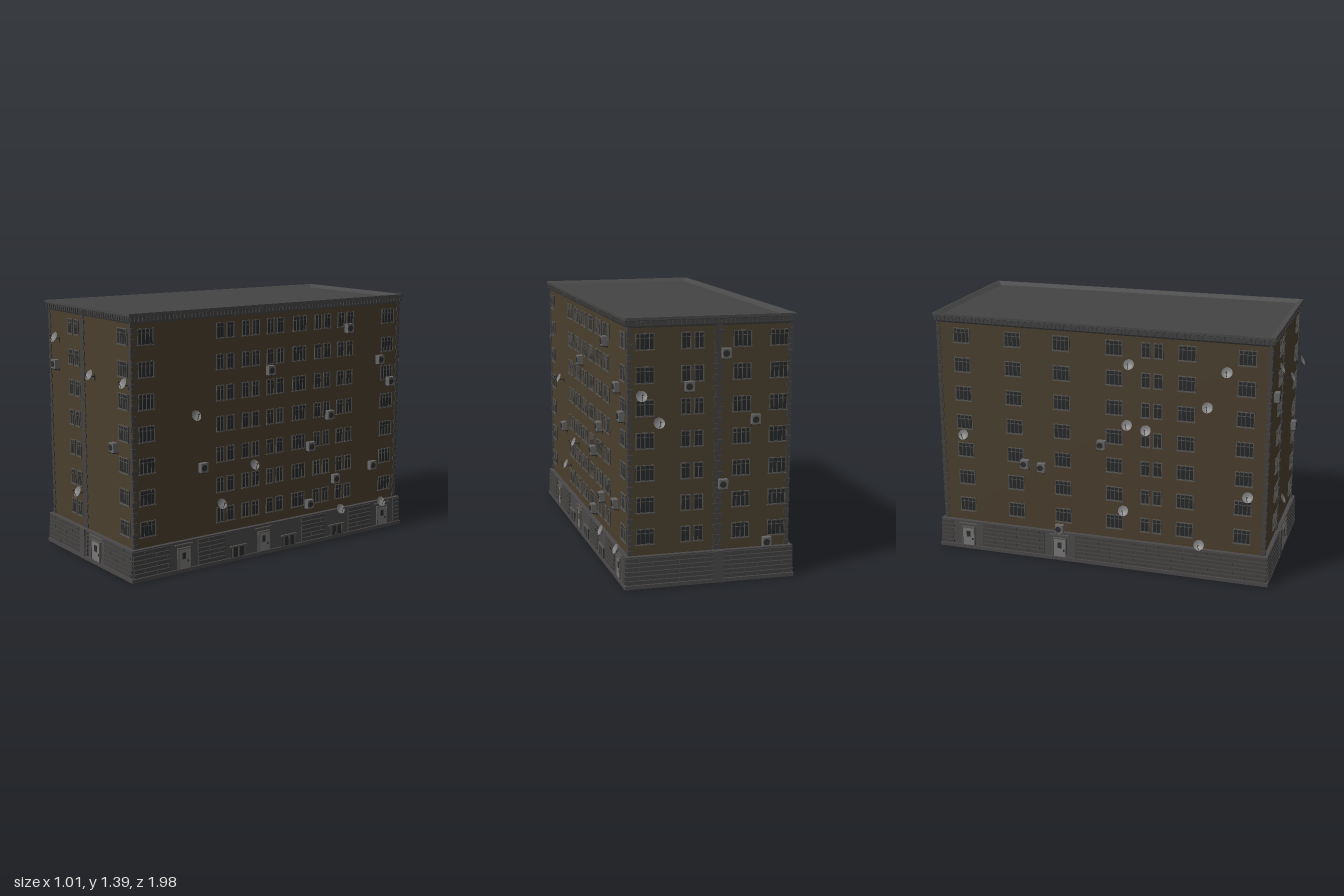
import * as THREE from 'three';
import { mergeGeometries } from 'three/addons/utils/BufferGeometryUtils.js';

const mat = (color, side = THREE.FrontSide) =>
  new THREE.MeshStandardMaterial({ color, side, flatShading: true });
const DOUBLE = THREE.DoubleSide;
const M = {
  walls: mat(0x4a3f2e, DOUBLE), base: mat(0x4a4848, DOUBLE), cornice: mat(0x484848, DOUBLE),
  roof: mat(0x444444, DOUBLE), stonework: mat(0x424140), glass: mat(0x26282a),
  frames: mat(0x55534f), darkMetal: mat(0x2d2d2d), doors: mat(0x777777),
  airConditioners: mat(0x666666), dishes: mat(0x808080, DOUBLE),
};

// Slightly skewed plan: front left, front right, back right, back left as seen from the front
const PLAN = [[-0.44, 0.925], [0.445, 0.925], [0.41, -0.92], [-0.44, -0.945]];
const BASE_TOP = 0.17, WALL_TOP = 1.345, FLOORS = 7, STOREY = 0.1668;
const corner = (i, off, y) => {
  const [x, z] = PLAN[i % 4];
  return [x + Math.sign(x) * off, y, z + Math.sign(z) * off];
};

function surface(quads) {
  const pos = [];
  for (const [a, b, c, d] of quads) pos.push(...a, ...b, ...c, ...a, ...c, ...d);
  const g = new THREE.BufferGeometry();
  g.setAttribute('position', new THREE.Float32BufferAttribute(pos, 3));
  g.computeVertexNormals();
  return g;
}

// Sweep a profile of [outward offset, height] around the plan
function ring(profile) {
  const quads = [];
  for (let k = 0; k + 1 < profile.length; k++)
    for (let i = 0; i < 4; i++)
      quads.push([corner(i, ...profile[k]), corner(i + 1, ...profile[k]),
        corner(i + 1, ...profile[k + 1]), corner(i, ...profile[k + 1])]);
  return surface(quads);
}

// One facade: local x runs along the wall, local z points outwards
class Facade {
  constructor(name, index, axis) {
    const a = PLAN[index], b = PLAN[(index + 1) % 4];
    this.u0 = axis(a);
    this.u1 = axis(b);
    const t = -this.u0 / (this.u1 - this.u0);
    this.group = new THREE.Group();
    this.group.name = name;
    this.group.position.set(a[0] + (b[0] - a[0]) * t, 0, a[1] + (b[1] - a[1]) * t);
    this.group.rotation.y = Math.atan2(a[1] - b[1], b[0] - a[0]);
    this.parts = {};
  }
  add(part, material, geo) {
    (this.parts[part] ??= { material, geos: [] }).geos.push(geo);
  }
  // Box given by centre u, centre y, size, and depth range
  box(part, material, u, y, w, h, z0, z1) {
    this.add(part, material, new THREE.BoxGeometry(w, h, z1 - z0).translate(u, y, (z0 + z1) / 2));
  }
  finish() {
    for (const [part, { material, geos }] of Object.entries(this.parts)) {
      const mesh = new THREE.Mesh(mergeGeometries(geos), material);
      mesh.name = part;
      this.group.add(mesh);
    }
    return this.group;
  }
}

// A window of equal panes with frame, transom and sill
function addWindow(f, u, y, w, panes) {
  const h = 0.085, b = 0.005, bar = (...a) => f.box('windowFrames', M.frames, ...a);
  f.box('windowGlass', M.glass, u, y, w, h, -0.002, 0.002);
  for (const s of [-1, 1]) {
    bar(u + s * (w - b) / 2, y, b, h, 0, 0.006);
    bar(u, y + s * (h - b) / 2, w, b, 0, 0.006);
  }
  for (let i = 1; i < panes; i++) bar(u + (i / panes - 0.5) * w, y, 0.003, h, 0, b);
  bar(u, y + 0.018, w, 0.003, 0, 0.004);
  bar(u, y - h / 2, w + 0.006, 0.004, 0, 0.009);
}

function addDoor(f, u, w) {
  const h = 0.128, trim = (...a) => f.box('doorTrim', M.frames, ...a);
  f.box('doors', M.doors, u, h / 2, w, h, 0.005, 0.024);
  for (const s of [-1, 1]) trim(u + s * (w / 2 + 0.003), h / 2, 0.006, h, 0.01, 0.03);
  trim(u, h + 0.003, w + 0.012, 0.006, 0.01, 0.03);
  trim(u, 0.152, w * 1.6, 0.005, 0.01, 0.026);
  f.box('doorWindows', M.darkMetal, u, h * 0.7, w * 0.32, 0.035, 0.02, 0.026);
  f.box('doorHandles', M.darkMetal, u + w * 0.36, h * 0.47, 0.007, 0.012, 0.02, 0.028);
}

function addVent(f, u) {
  f.box('vents', M.darkMetal, u, 0.046, 0.1, 0.06, 0.01, 0.026);
  f.box('ventFrames', M.frames, u, 0.08, 0.11, 0.008, 0.01, 0.03);
  for (const s of [-0.04, 0, 0.04]) f.box('ventFrames', M.frames, u + s, 0.046, 0.012, 0.06, 0.01, 0.029);
}

// Staggered courses of long blocks between two points along the base
function addRustication(f, from, to) {
  for (let row = 0; row < 6; row++) {
    const y = 0.034 + row * 0.0235, out = 0.029 - row * 0.0011;
    for (let a = from, n = row % 2 ? 0.07 : 0.14; a < to - 0.01; a += n, n = 0.14) {
      const b = Math.min(a + n, to);
      f.box('rustication', M.stonework, (a + b) / 2, y, b - a - 0.003, 0.0185, 0.012, out);
    }
  }
}

// Column of alternating long and short blocks, growing to one side of u
function addQuoins(f, u, side) {
  const n = 42, step = (WALL_TOP - BASE_TOP) / n;
  for (let i = 0; i < n; i++) {
    const w = i % 2 ? 0.016 : 0.025;
    f.box('quoins', M.stonework, u + side * w / 2, BASE_TOP + (i + 0.5) * step, w, step * 0.86, -0.004, w / 4);
  }
}

function addAirConditioner(f, u, y) {
  f.box('airConditioners', M.airConditioners, u, y, 0.046, 0.05, 0.006, 0.034);
  f.add('fanGrilles', M.darkMetal, new THREE.CylinderGeometry(0.017, 0.017, 0.003, 12)
    .rotateX(Math.PI / 2).translate(u - 0.004, y, 0.035));
  for (const s of [-0.017, 0.017]) {
    f.box('brackets', M.darkMetal, u + s, y - 0.028, 0.004, 0.005, 0, 0.036);
    f.box('brackets', M.darkMetal, u + s, y - 0.033, 0.004, 0.014, 0, 0.004);
  }
}

// Shallow dish tilted to the sky, with wall arm, feed arm and receiver
function addDish(f, u, y) {
  const profile = [0, 1, 2, 3].map(i => new THREE.Vector2(i * 0.0097, i * i * 0.00085));
  const place = g => g.rotateX(Math.PI / 2 - 0.45).translate(u, y, 0.03);
  f.add('dishes', M.dishes, place(new THREE.LatheGeometry(profile, 16)));
  f.add('dishArms', M.darkMetal, place(new THREE.CylinderGeometry(0.0015, 0.0015, 0.04, 5)
    .rotateX(-0.7).translate(0, 0.019, 0.014)));
  f.add('dishArms', M.darkMetal, place(new THREE.BoxGeometry(0.006, 0.007, 0.006).translate(0, 0.034, 0.002)));
  f.box('dishArms', M.darkMetal, u, y - 0.008, 0.004, 0.004, 0, 0.032);
  f.box('dishArms', M.darkMetal, u, y - 0.014, 0.004, 0.03, 0, 0.004);
}

// Everything the four facades share
function buildFacade(name, index, axis, { wide, pairs, doors = [], doorWidth = 0.07, vents = [] }) {
  const f = new Facade(name, index, axis);
  for (let floor = 0; floor < FLOORS; floor++) {
    const y = 0.268 + floor * STOREY;
    for (const u of wide) addWindow(f, u, y, 0.096, 4);
    for (const u of pairs) for (const s of [-0.034, 0.034]) addWindow(f, u + s, y, 0.051, 2);
  }
  addQuoins(f, f.u0 - 0.003, 1);
  addQuoins(f, f.u1 + 0.003, -1);
  for (const u of doors) addDoor(f, u, doorWidth);
  for (const u of vents) addVent(f, u);

  // Rusticated stone fills the base between the openings
  let from = f.u0 - 0.02;
  for (const u of [...doors, ...vents].sort((a, b) => a - b)) {
    addRustication(f, from, u - 0.09);
    from = u + 0.09;
  }
  addRustication(f, from, f.u1 + 0.02);

  // Dentils under the cornice
  const n = Math.round((f.u1 - f.u0) / 0.023);
  for (let k = 0; k <= n; k++)
    f.box('dentils', M.stonework, f.u0 + (f.u1 - f.u0) * k / n, 1.361, 0.012, 0.022, 0.004, 0.014);
  return f;
}

// Middle strip of quoins standing on a plinth
function addPier(f, u) {
  for (const side of [-1, 1]) addQuoins(f, u, side);
  f.box('pierPlinth', M.base, u, BASE_TOP / 2, 0.055, BASE_TOP, 0.01, 0.032);
}

export function createModel() {
  const model = new THREE.Group();
  model.name = 'apartmentBlock';
  const shell = (name, geo) => {
    const mesh = new THREE.Mesh(geo, M[name]);
    mesh.name = name;
    model.add(mesh);
  };

  // Hollow shell, open underneath
  shell('base', ring([[0.03, 0], [0.03, 0.02], [0.021, 0.02], [0.015, 0.163], [0.022, 0.163], [0.022, BASE_TOP], [0, BASE_TOP]]));
  shell('walls', ring([[0, BASE_TOP], [0, WALL_TOP]]));
  shell('cornice', ring([[0, 1.338], [0.006, 1.347], [0.01, 1.373], [0.018, 1.376], [0.018, 1.39], [0.008, 1.39], [-0.02, 1.372]]));
  shell('roof', surface([[0, 1, 2, 3].map(i => corner(i, -0.019, 1.373))]));

  const front = buildFacade('frontFacade', 0, p => p[0], { wide: [0.363], pairs: [-0.155], doors: [0.08], doorWidth: 0.09 });
  addPier(front, -0.06);
  for (const p of [[-0.32, 1.195], [0.07, 1.035], [0.42, 1.035], [-0.09, 0.37]]) addDish(front, ...p);
  for (const p of [[-0.345, 1.045], [0.285, 0.685]]) addAirConditioner(front, ...p);

  // Evenly spaced bays, with a wide window in the fourth
  const left = buildFacade('leftFacade', 1, p => -p[1], {
    wide: [-0.84, 0.165, 0.83], pairs: [0, 1, 2, 4, 5].map(bay => -0.343 + bay * 0.169),
    doors: [-0.63, -0.095, 0.8], vents: [-0.27, 0.085, 0.44],
  });
  for (const p of [[-0.555, 0.835], [-0.39, 0.335], [-0.17, 0.52], [0.46, 0.17], [0.78, 0.165]]) addDish(left, ...p);
  for (const p of [[-0.5, 0.55], [-0.05, 1.03], [0.235, 0.235], [0.24, 0.57], [0.38, 0.735], [0.43, 0.355],
    [0.515, 1.22], [0.715, 0.395], [0.76, 1.02], [0.845, 0.885]]) addAirConditioner(left, ...p);

  const back = buildFacade('backFacade', 2, p => -p[0], { wide: [-0.325, 0.18, 0.375], pairs: [-0.08] });
  addPier(back, 0.055);
  for (const p of [[-0.35, 1], [-0.26, 0.86]]) addDish(back, ...p);
  for (const p of [[0.09, 1.2], [-0.1, 1.04], [0.25, 0.855], [0.08, 0.525], [0.32, 0.2]]) addAirConditioner(back, ...p);

  const right = buildFacade('rightFacade', 3, p => p[1], {
    wide: [-0.8, -0.5, -0.22, 0.08, 0.48, 0.8], pairs: [0.29], doors: [-0.8, -0.24],
  });
  for (const p of [[0.17, 1.19], [0.7, 1.19], [0.6, 0.99], [0.83, 0.51], [0.16, 0.85], [0.265, 0.83],
    [-0.8, 0.7], [0.14, 0.35], [0.57, 0.2]]) addDish(right, ...p);
  for (const p of [[0.01, 0.72], [-0.44, 0.56], [-0.34, 0.55], [-0.24, 0.19]]) addAirConditioner(right, ...p);

  for (const f of [front, left, back, right]) model.add(f.finish());
  return model;
}
